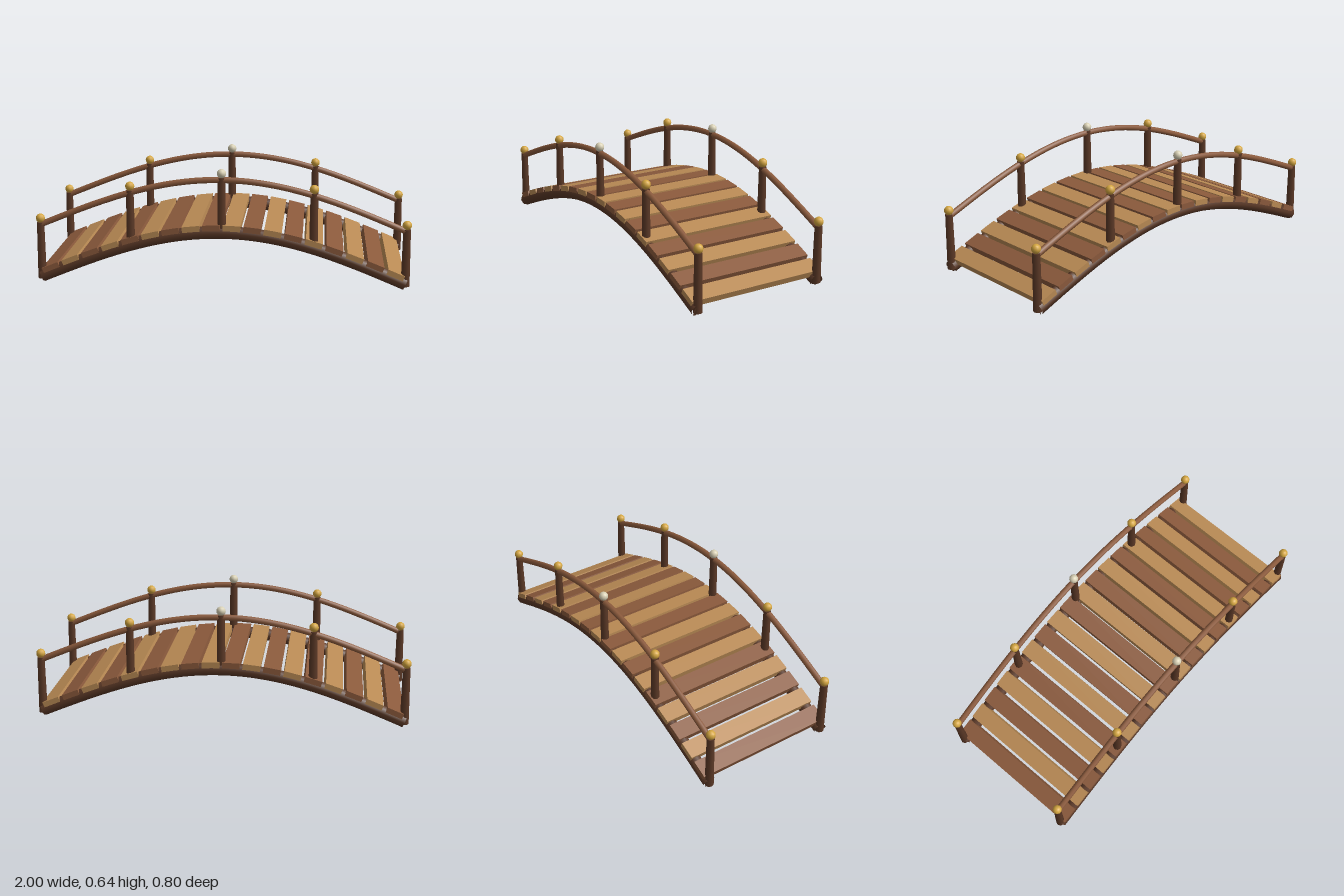
import * as THREE from 'three';

const HALF = 0.975;    // half span between end posts
const RISE = 0.26;     // height of the arch
const BASE = 0.0325;   // beam centre height at the ends
const SIDE = 0.364;    // z of beams, posts and rails

const archY = (t) => BASE + RISE * Math.sin(Math.PI * t);
const archX = (t) => -HALF + 2 * HALF * t;
const archAngle = (t) => Math.atan((RISE * Math.PI * Math.cos(Math.PI * t)) / (2 * HALF));

function material(name, color) {
  const m = new THREE.MeshStandardMaterial({ color });
  m.name = name;
  return m;
}

function add(parent, name, geometry, mat, x = 0, y = 0, z = 0) {
  const mesh = new THREE.Mesh(geometry, mat);
  mesh.name = name;
  mesh.position.set(x, y, z);
  parent.add(mesh);
  return mesh;
}

// Arched tube raised above the beam line
function archTube(offset, radius) {
  const points = [];
  for (let i = 0; i <= 24; i++) {
    points.push(new THREE.Vector3(archX(i / 24), archY(i / 24) + offset, 0));
  }
  return new THREE.TubeGeometry(new THREE.CatmullRomCurve3(points), 40, radius, 8, false);
}

export function createModel() {
  const bridge = new THREE.Group();
  bridge.name = 'archedFootbridge';

  const darkWood = material('dark timber', 0x5a3826);
  const redWood = material('red brown wood', 0x8b5a3c);
  const lightWood = material('light wood', 0xb98a54);
  const gold = material('gold', 0xd4a640);
  const pale = material('pale stone', 0xd8d0b4);

  // Deck planks following the arch, in alternating woods
  const deck = new THREE.Group();
  deck.name = 'deck';
  bridge.add(deck);
  const plankGeometry = new THREE.BoxGeometry(0.094, 0.037, 0.787);
  const count = 18;
  for (let i = 0; i < count; i++) {
    const t = (i + 0.5) / count;
    const plank = add(deck, 'plank', plankGeometry, i % 2 ? lightWood : redWood,
      archX(t), archY(t) + 0.026, 0);
    plank.rotation.z = archAngle(t);
  }

  const beamGeometry = archTube(0, 0.035);
  const railGeometry = archTube(0.2845, 0.0165);
  const capGeometry = new THREE.CircleGeometry(0.035, 8);
  const postGeometry = new THREE.CylinderGeometry(0.02, 0.0235, 0.31, 8);
  const knobGeometry = new THREE.SphereGeometry(0.025, 10, 8);

  for (const side of [1, -1]) {
    const railing = new THREE.Group();
    railing.name = side > 0 ? 'frontRailing' : 'backRailing';
    railing.position.z = side * SIDE;
    bridge.add(railing);

    add(railing, 'beam', beamGeometry, darkWood);
    add(railing, 'handrail', railGeometry, redWood);

    // Closed beam ends
    for (const t of [0, 1]) {
      const cap = add(railing, 'beamEnd', capGeometry, darkWood, archX(t), archY(t), 0);
      const dir = t ? 1 : -1;
      const a = archAngle(t);
      cap.lookAt(cap.position.clone().add(new THREE.Vector3(dir * Math.cos(a), dir * Math.sin(a), 0)));
    }

    // Posts with ball finials, pale at the crown
    for (let i = 0; i < 5; i++) {
      const t = i / 4;
      add(railing, 'post', postGeometry, darkWood, archX(t), archY(t) + 0.142, 0);
      add(railing, 'finial', knobGeometry, i === 2 ? pale : gold, archX(t), archY(t) + 0.3185, 0);
    }
  }
  return bridge;
}
